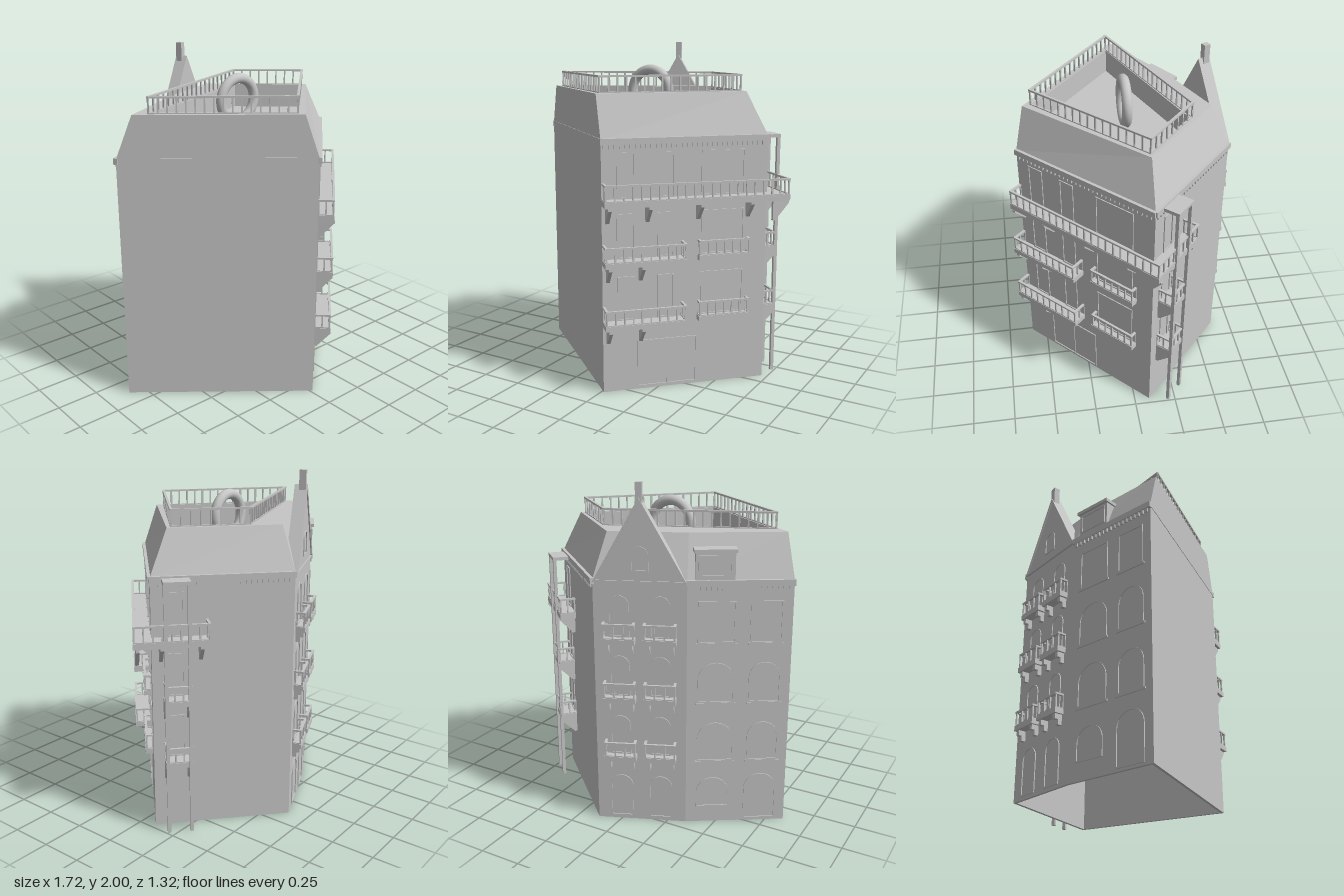
import * as THREE from 'three';
import { mergeGeometries } from 'three/addons/utils/BufferGeometryUtils.js';

const stone = new THREE.MeshStandardMaterial({ color: 0xc6c6c6 });
stone.name = 'pale grey';

// Plan corners as [x, z], counter-clockwise from above
const A = [-0.845, -0.12], B = [0.015, 0.595], C = [0.715, -0.09], D = [0.13, -0.63], E = [-0.35, -0.43];
const PLAN = [A, B, C, D, E];
const INNER = PLAN.map(([x, z]) => [-0.05 + (x + 0.05) * 0.965, -0.07 + (z + 0.07) * 0.965]);
const ROOF_TOP = [[-0.77, -0.058], [-0.05, 0.541], [0.572, -0.09], [0.10, -0.52], [-0.31, -0.34]];
const RAIL = [[-0.685, -0.02], [-0.06, 0.49], [0.535, -0.09], [0.21, -0.38]];
const WELL = [[-0.665, -0.02], [-0.06, 0.475], [0.52, -0.09], [0.21, -0.365], [-0.27, -0.175]];

function add(parent, name, geometry) {
  const mesh = new THREE.Mesh(geometry, stone);
  mesh.name = name;
  parent.add(mesh);
  return mesh;
}

// Box given by its lower and upper limits
function box(x0, x1, y0, y1, z0, z1) {
  return new THREE.BoxGeometry(x1 - x0, y1 - y0, z1 - z0)
    .translate((x0 + x1) / 2, (y0 + y1) / 2, (z0 + z1) / 2);
}

// Skin through equal-length loops, each { pts, y }, closed at both ends
function loft(loops) {
  const pos = [];
  const put = (loop, i) => pos.push(loop.pts[i][0], loop.y, loop.pts[i][1]);
  const n = loops[0].pts.length, last = loops[loops.length - 1];
  for (let k = 0; k + 1 < loops.length; k++) {
    const lo = loops[k], hi = loops[k + 1];
    for (let i = 0; i < n; i++) {
      const j = (i + 1) % n;
      put(lo, i); put(lo, j); put(hi, j);
      put(lo, i); put(hi, j); put(hi, i);
    }
  }
  for (let i = 1; i + 1 < n; i++) {
    put(last, 0); put(last, i); put(last, i + 1);
    put(loops[0], 0); put(loops[0], i + 1); put(loops[0], i);
  }
  const g = new THREE.BufferGeometry();
  g.setAttribute('position', new THREE.Float32BufferAttribute(pos, 3));
  g.computeVertexNormals();
  return g;
}

// Group with x along the wall, z outward
function facade(name, P, Q) {
  const g = new THREE.Group();
  g.name = name;
  g.position.set(P[0], 0, P[1]);
  g.rotation.y = Math.atan2(P[1] - Q[1], Q[0] - P[0]);
  g.userData.length = Math.hypot(Q[0] - P[0], Q[1] - P[1]);
  return g;
}

// Handrail, foot rail and balusters along a path of [x, z] points
function railing(parent, name, pts, y, h, spacing = 0.052) {
  const parts = [];
  for (let i = 0; i + 1 < pts.length; i++) {
    const [x0, z0] = pts[i], [x1, z1] = pts[i + 1];
    const len = Math.hypot(x1 - x0, z1 - z0), n = Math.max(1, Math.round(len / spacing));
    const pieces = [
      box(-0.006, len + 0.006, h - 0.011, h, -0.007, 0.007),
      box(0, len, 0, 0.006, -0.005, 0.005),
    ];
    for (let k = 0; k <= n; k++) {
      const x = len * k / n;
      pieces.push(box(x - 0.0045, x + 0.0045, 0, h - 0.006, -0.0045, 0.0045));
    }
    parts.push(mergeGeometries(pieces).rotateY(Math.atan2(z0 - z1, x1 - x0)).translate(x0, y, z0));
  }
  return add(parent, name, mergeGeometries(parts));
}

// Triangular support under a balcony
function bracket(parent, u, y, depth, h = 0.1) {
  const s = new THREE.Shape([[0, 0], [depth, 0], [depth, -0.015], [0.015, -h], [0, -h]].map(p => new THREE.Vector2(...p)));
  const g = new THREE.ExtrudeGeometry(s, { depth: 0.02, bevelEnabled: false });
  add(parent, 'bracket', g.rotateY(-Math.PI / 2).translate(u + 0.01, y, 0));
}

function balcony(parent, u0, u1, depth, y, supports = []) {
  add(parent, 'balconyDeck', box(u0, u1, y, y + 0.03, 0, depth));
  const w = depth - 0.008;
  railing(parent, 'balconyRailing', [[u0 + 0.008, 0], [u0 + 0.008, w], [u1 - 0.008, w], [u1 - 0.008, 0]], y + 0.03, 0.088);
  supports.forEach(u => bracket(parent, u, y, depth));
}

// Opening outline, optionally with a round head
function outline(Type, u0, u1, y0, y1, arched) {
  const s = new Type(), r = (u1 - u0) / 2;
  s.moveTo(u0, y0);
  s.lineTo(u1, y0);
  if (arched) {
    s.lineTo(u1, y1 - r);
    s.absarc((u0 + u1) / 2, y1 - r, r, 0, Math.PI, false);
  } else {
    s.lineTo(u1, y1);
    s.lineTo(u0, y1);
  }
  s.closePath();
  return s;
}

// Thin frame around a window or door
function frame(parent, name, u0, u1, y0, y1, arched = false, t = 0.008) {
  const s = outline(THREE.Shape, u0, u1, y0, y1, arched);
  s.holes.push(outline(THREE.Path, u0 + t, u1 - t, y0 + t, y1 - t, arched));
  add(parent, name, new THREE.ExtrudeGeometry(s, { depth: 0.006, bevelEnabled: false, curveSegments: 8 }));
}

// Moulding with a row of dentils beneath
function cornice(wall) {
  const L = wall.userData.length, teeth = [];
  add(wall, 'cornice', box(-0.005, L + 0.005, 1.445, 1.48, -0.01, 0.014));
  for (let u = 0.02; u < L - 0.01; u += 0.03) teeth.push(box(u - 0.008, u + 0.008, 1.422, 1.445, 0, 0.01));
  add(wall, 'dentils', mergeGeometries(teeth));
}

export function createModel() {
  const model = new THREE.Group();
  model.name = 'cornerBuilding';

  // Hollow thin-walled block, open below, with a mansard and a sunken roof terrace
  add(model, 'wallsAndRoof', loft([
    { pts: INNER, y: 1.5 }, { pts: INNER, y: 0 }, { pts: PLAN, y: 0 }, { pts: PLAN, y: 1.47 },
    { pts: ROOF_TOP, y: 1.72 }, { pts: WELL, y: 1.72 }, { pts: WELL, y: 1.58 },
  ]));
  railing(model, 'roofRailing', [...RAIL, RAIL[0]], 1.72, 0.097);
  add(model, 'roofRing', new THREE.TorusGeometry(0.125, 0.03, 16, 40).translate(-0.04, 1.71, -0.04));

  const party = facade('partyWall', A, B), street = facade('streetFacade', B, C);
  const side = facade('sideFacade', C, D), gableWall = facade('gableFacade', D, E), rear = facade('rearFacade', E, A);
  model.add(party, street, side, gableWall, rear);
  [street, side, rear].forEach(cornice);

  // Street side: balconies, tall windows and a wide door
  for (const y of [0.40, 0.765]) {
    balcony(street, 0, 0.475, 0.095, y, [0.03, 0.22]);
    balcony(street, 0.56, 0.87, 0.045, y);
  }
  for (const y of [0.43, 0.795, 1.14]) {
    for (const [u0, u1] of [[0.085, 0.19], [0.32, 0.42], [0.58, 0.84]]) frame(street, 'window', u0, u1, y, y + 0.26);
  }
  frame(street, 'frontDoor', 0.2, 0.56, 0.015, 0.3);
  add(street, 'doorMullion', box(0.376, 0.384, 0.022, 0.293, 0, 0.005));

  // Upper balcony wrapping round the corner
  const deck = [B, [0.08, 0.66], [0.86, -0.09], [0.55, -0.375], [0.485, -0.302], C];
  const deckShape = new THREE.Shape(deck.map(([x, z]) => new THREE.Vector2(x, -z)));
  add(model, 'upperBalconyDeck', new THREE.ExtrudeGeometry(deckShape, { depth: 0.035, bevelEnabled: false })
    .rotateX(-Math.PI / 2).translate(0, 1.105, 0));
  railing(model, 'upperBalconyRailing',
    [[0.022, 0.59], [0.08, 0.65], [0.85, -0.09], [0.55, -0.366], [0.494, -0.303]], 1.14, 0.094);
  [0.03, 0.26, 0.56, 0.86].forEach(u => bracket(street, u, 1.105, 0.095));
  [0.05, 0.27].forEach(u => bracket(side, u, 1.105, 0.095));
  bracket(side, -0.08, 1.105, 0.1, 0.115);

  // Side stair tower: posts with small landings
  for (const u of [0.07, 0.2]) add(side, 'towerPost', box(u - 0.01, u + 0.01, 0, 1.455, 0.087, 0.107));
  for (const y of [0.40, 0.765]) balcony(side, 0.06, 0.215, 0.1, y, [0.07, 0.2]);
  add(side, 'towerRoof', box(0.06, 0.21, 1.45, 1.47, 0, 0.108));
  for (const y of [0.43, 0.795, 1.14]) frame(side, 'sideDoor', 0.09, 0.18, y, y + 0.25);

  // Gable with coping and chimney
  const L = gableWall.userData.length, mid = L / 2;
  const triangle = (Type, m) => new Type([
    new THREE.Vector2(m, 1.46 + m * 0.6), new THREE.Vector2(L - m, 1.46 + m * 0.6), new THREE.Vector2(mid, 1.92 - m * 1.7),
  ]);
  add(gableWall, 'gable', new THREE.ExtrudeGeometry(triangle(THREE.Shape, 0), { depth: 0.067, bevelEnabled: false })
    .translate(0, 0, -0.062));
  const coping = triangle(THREE.Shape, 0);
  coping.holes.push(triangle(THREE.Path, 0.018));
  add(gableWall, 'gableCoping', new THREE.ExtrudeGeometry(coping, { depth: 0.012, bevelEnabled: false }));
  add(gableWall, 'chimney', box(mid - 0.018, mid + 0.018, 1.86, 2.0, -0.035, 0.003));
  const attic = new THREE.Group();
  attic.name = 'atticWindow';
  attic.position.z = 0.005;
  gableWall.add(attic);
  frame(attic, 'gableWindow', mid - 0.05, mid + 0.05, 1.52, 1.66, true);

  // Gable side: paired balconies on stepped corbels
  for (const [e0, e1] of [[0.055, 0.24], [0.285, 0.47]]) {
    const u0 = L - e1, u1 = L - e0;
    for (const y of [0.40, 0.765, 1.115]) {
      balcony(gableWall, u0, u1, 0.055, y);
      for (const u of [u0 + 0.025, u1 - 0.025]) {
        add(gableWall, 'corbel', box(u - 0.012, u + 0.012, y - 0.03, y, 0, 0.045));
        add(gableWall, 'corbel', box(u - 0.012, u + 0.012, y - 0.06, y - 0.03, 0, 0.025));
      }
      frame(gableWall, 'archedWindow', u0 + 0.035, u1 - 0.035, y + 0.03, y + 0.27, true);
    }
    frame(gableWall, 'groundWindow', u0 + 0.025, u1 - 0.025, 0.02, 0.29, true);
  }

  // Rear side: arched openings and a roof dormer
  for (const y of [0.40, 0.765, 1.12]) {
    for (const [u0, u1] of [[0.06, 0.27], [0.35, 0.53]]) {
      frame(rear, 'rearWindow', u0, u1, y, y + 0.24, y < 1);
      add(rear, 'sill', box(u0 - 0.01, u1 + 0.01, y - 0.012, y, 0, 0.008));
    }
  }
  frame(rear, 'archedDoor', 0.34, 0.53, 0.015, 0.31, true);
  frame(rear, 'groundWindow', 0.06, 0.25, 0.1, 0.29, true);
  add(rear, 'dormer', box(0.045, 0.26, 1.48, 1.63, -0.09, 0.003));
  add(rear, 'dormerRoof', box(0.035, 0.27, 1.63, 1.65, -0.09, 0.018));
  const pane = new THREE.Group();
  pane.name = 'dormerWindow';
  pane.position.z = 0.003;
  rear.add(pane);
  frame(pane, 'dormerFrame', 0.06, 0.245, 1.5, 1.615);

  // Raised edge at the top of the plain wall
  add(party, 'eaveStrip', box(0, party.userData.length, 1.455, 1.48, -0.01, 0.003));

  return model;
}
